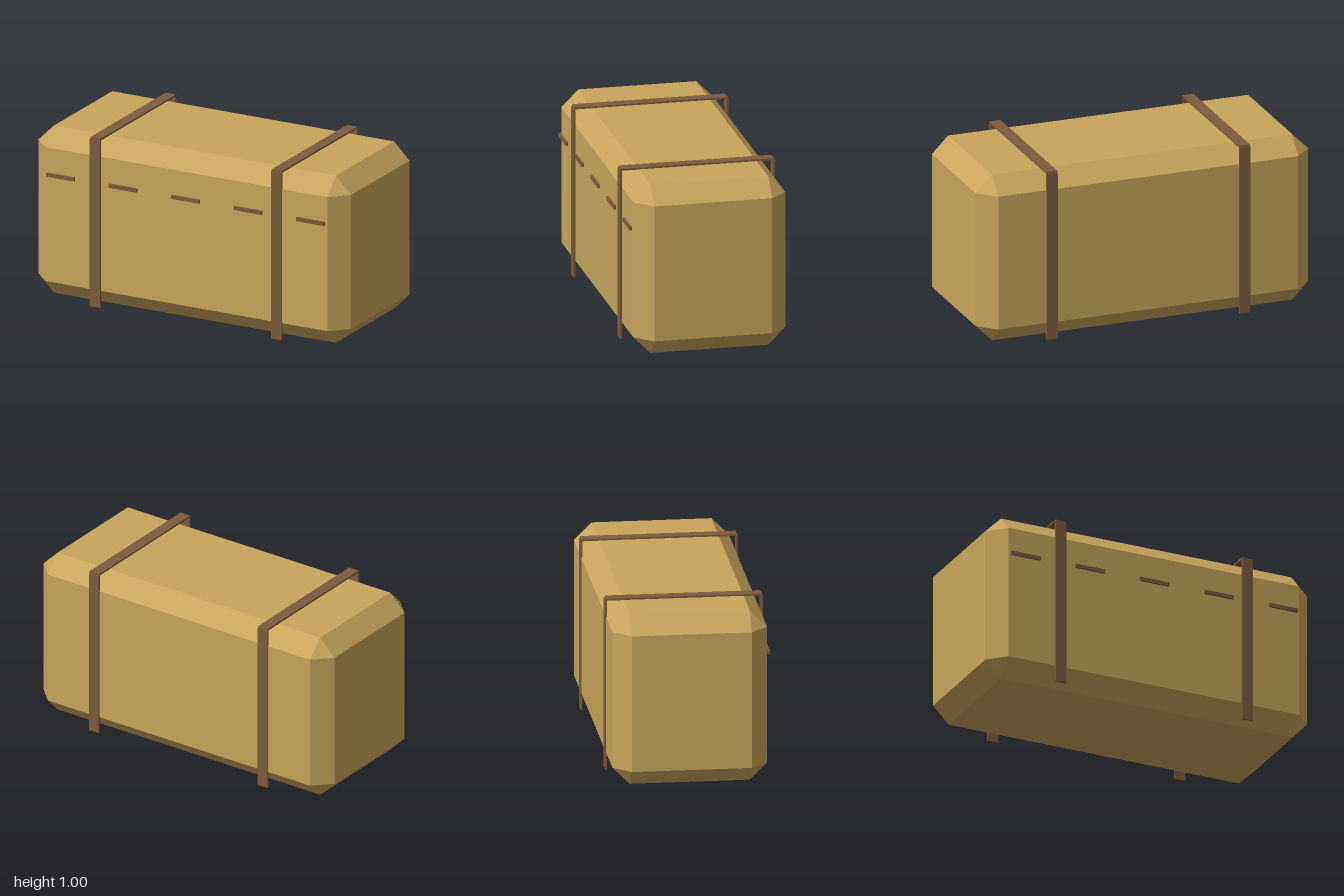
import * as THREE from 'three';
import { ConvexGeometry } from 'three/addons/geometries/ConvexGeometry.js';

// Box with every edge cut at 45 degrees and a triangle at each corner
function chamferedBox(width, height, depth, cut) {
  const half = [width / 2, height / 2, depth / 2];
  const points = [];
  for (const sx of [-1, 1]) for (const sy of [-1, 1]) for (const sz of [-1, 1]) {
    const signs = [sx, sy, sz];
    for (let axis = 0; axis < 3; axis++) {
      points.push(new THREE.Vector3(...signs.map((s, i) => s * (half[i] - (i === axis ? 0 : cut)))));
    }
  }
  return new ConvexGeometry(points);
}

export function createModel() {
  const model = new THREE.Group();
  model.name = 'strappedBale';

  const straw = new THREE.MeshStandardMaterial({ color: 0xc9a55c });
  straw.name = 'straw';
  const leather = new THREE.MeshStandardMaterial({ color: 0x7f5b3d });
  leather.name = 'brown strap';

  function add(name, geometry, material, x, y, z, parent = model) {
    const mesh = new THREE.Mesh(geometry, material);
    mesh.name = name;
    mesh.position.set(x, y, z);
    parent.add(mesh);
    return mesh;
  }

  // Main body, sitting slightly behind centre
  add('body', chamferedBox(2, 0.99, 0.874, 0.098), straw, 0, 0.495, -0.006);

  // Two straps: front, back and top bands
  const upright = new THREE.BoxGeometry(0.066, 0.99, 0.011);
  const across = new THREE.BoxGeometry(0.066, 0.011, 0.878);
  for (const side of [-1, 1]) {
    const strap = new THREE.Group();
    strap.name = side > 0 ? 'leftStrap' : 'rightStrap';
    strap.position.x = side * 0.58;
    add('frontBand', upright, leather, 0, 0.495, 0.436, strap);
    add('backBand', upright, leather, 0, 0.495, -0.444, strap);
    add('topBand', across, leather, 0, 0.9945, -0.004, strap);
    model.add(strap);
  }

  // Row of short stitches along the front
  const stitch = new THREE.BoxGeometry(0.18, 0.022, 0.012);
  for (let i = -2; i <= 2; i++) {
    add('stitch', stitch, leather, i * 0.4, 0.735, 0.443);
  }

  return model;
}
